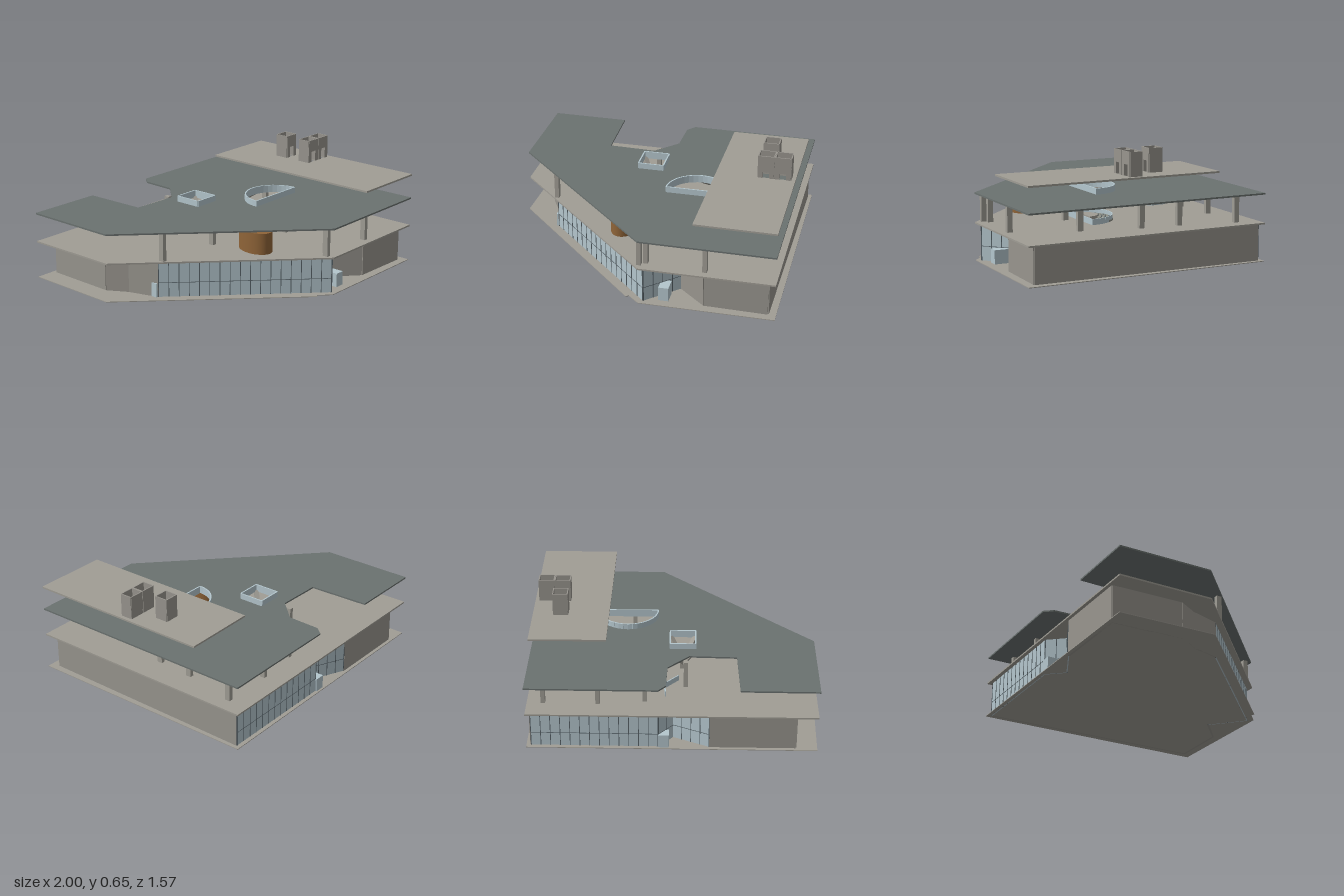
import * as THREE from 'three';

const paint = (color) => new THREE.MeshStandardMaterial({ color, side: THREE.DoubleSide });
const STONE = paint(0xa09d95), WALL = paint(0x98958e), ROOF = paint(0x6b7270);
const GLASS = paint(0xb4c6cd), FRAME = paint(0x59646a), WOOD = paint(0x8f6438), PLANTS = paint(0x8d8f86);
const TILT = 0.378; // plan rotation shared by the rotated elements

export function createModel() {
  const model = new THREE.Group();

  const add = (name, geometry, material, parent = model) => {
    const mesh = new THREE.Mesh(geometry, material);
    mesh.name = name;
    parent.add(mesh);
    return mesh;
  };

  // Flat plate from a plan outline of [x, z] points
  const plate = (name, outline, y0, y1, material, holes = []) => {
    const toPts = (list) => list.map(([x, z]) => new THREE.Vector2(x, -z));
    const shape = new THREE.Shape(toPts(outline));
    holes.forEach((h) => shape.holes.push(new THREE.Path(toPts(h))));
    const g = new THREE.ExtrudeGeometry(shape, { depth: y1 - y0, bevelEnabled: false });
    return add(name, g.rotateX(-Math.PI / 2).translate(0, y0, 0), material);
  };

  // Upright strip between two plan points
  const strip = (name, [ax, az], [bx, bz], y0, y1, thick, material) => {
    const m = add(name, new THREE.BoxGeometry(Math.hypot(bx - ax, bz - az), y1 - y0, thick), material);
    m.position.set((ax + bx) / 2, (y0 + y1) / 2, (az + bz) / 2);
    m.rotation.y = -Math.atan2(bz - az, bx - ax);
  };
  const run = (name, pts, y0, y1, thick, material) => {
    for (let i = 0; i < pts.length - 1; i++) strip(name, pts[i], pts[i + 1], y0, y1, thick, material);
  };
  const block = (name, x, y, z, w, h, d, material, turn = TILT) => {
    const m = add(name, new THREE.BoxGeometry(w, h, d), material);
    m.position.set(x, y, z);
    m.rotation.y = turn;
  };

  // Rotated rectangle and half-disc outlines in plan
  const turned = (cx, cz, u, v) => [cx + u * Math.cos(TILT) + v * Math.sin(TILT), cz - u * Math.sin(TILT) + v * Math.cos(TILT)];
  const rect = (cx, cz, w, d) =>
    [[-1, -1], [1, -1], [1, 1], [-1, 1]].map(([a, b]) => turned(cx, cz, (a * w) / 2, (b * d) / 2));
  const halfDisc = (cx, cz, r, n = 20) =>
    Array.from({ length: n + 1 }, (_, i) => {
      const a = (Math.PI * i) / n;
      return turned(cx, cz, -r * Math.cos(a), -r * Math.sin(a));
    });
  const closed = (pts) => [...pts, pts[0]];

  // Main plan corners
  const A = [-1, -0.2], B = [0.485, -0.785], C = [1, 0.51], D = [0.32, 0.78], E = [-0.8, 0.31];
  const skylight = rect(-0.118, 0.013, 0.145, 0.15);
  const moon = halfDisc(0.295, 0.19, 0.172);

  // Slabs
  plate('groundSlab', [A, B, C, D, [0.24, 0.75], [0.23, 0.765], [-0.81, 0.32]], 0, 0.004, STONE);
  plate('upperFloor', [A, B, C, D, E], 0.206, 0.215, STONE);
  plate('mainRoof', [A, [-0.6, -0.355], [-0.46, -0.03], [-0.21, -0.12], [-0.145, -0.28],
    [-0.21, -0.46], [-0.19, -0.52], B, C, D, E], 0.37, 0.379, ROOF, [skylight, moon]);

  // Ground floor solid walls
  run('groundWall', [[0.43, 0.53], [0.62, 0.6], [0.94, 0.48], [0.47, -0.75]], 0, 0.207, 0.012, WALL);
  run('groundWall', [[-0.44, -0.393], [-0.88, -0.22], [-0.74, 0.16], [-0.64, 0.24], [-0.53, 0.38]], 0, 0.207, 0.012, WALL);

  // Glazed facades with mullions and a transom
  const glazing = (pts) => {
    run('glassWall', pts, 0, 0.207, 0.006, GLASS);
    run('transom', pts, 0.083, 0.086, 0.009, FRAME);
    for (let i = 0; i < pts.length - 1; i++) {
      const [ax, az] = pts[i], [bx, bz] = pts[i + 1];
      const n = Math.max(1, Math.round(Math.hypot(bx - ax, bz - az) / 0.055));
      for (let k = 0; k <= n; k++)
        block('mullion', ax + ((bx - ax) * k) / n, 0.1035, az + ((bz - az) * k) / n, 0.004, 0.207, 0.01, FRAME,
          -Math.atan2(bz - az, bx - ax));
    }
  };
  glazing([[-0.53, 0.38], [0.33, 0.745], [0.43, 0.53]]);
  glazing([[0.47, -0.75], [-0.18, -0.497], [-0.22, -0.38], [-0.44, -0.393]]);

  // Low entrance lobbies
  [[0.405, 0.65, 0.055, 0.08], [-0.535, 0.36, 0.04, 0.04], [-0.2, -0.47, 0.06, 0.06]].forEach(([x, z, w, d]) =>
    block('entranceLobby', x, 0.042, z, w, 0.08, d, GLASS));

  // Upper storey columns
  [[-0.515, 0.405], [0.3, 0.735], [0.32, 0.7], [0.625, 0.6], [0.45, -0.63], [0.17, -0.52], [-0.06, -0.4],
    [-0.21, -0.17], [0.51, -0.31], [0.575, -0.1], [0.625, 0.23], [0.3, 0.29], [-0.16, 0.29]].forEach(([x, z]) =>
    block('column', x, 0.292, z, 0.024, 0.158, 0.03, STONE));

  // Curved timber room
  const room = add('timberRoom', new THREE.CylinderGeometry(1, 1, 0.12, 32), WOOD);
  room.scale.set(0.075, 1, 0.11);
  room.position.set(0.015, 0.274, 0.465);
  room.rotation.y = 0.2;

  // Square skylight: glazed upstand over four converging struts
  run('skylightUpstand', closed(skylight), 0.37, 0.412, 0.008, GLASS);
  const foot = new THREE.Vector3(-0.118, 0.245, 0.013);
  skylight.forEach(([x, z]) => {
    const top = new THREE.Vector3(x, 0.372, z);
    const strut = add('skylightStrut', new THREE.BoxGeometry(0.026, 0.026, top.distanceTo(foot)), STONE);
    strut.position.copy(top).lerp(foot, 0.5);
    strut.lookAt(top);
  });
  block('skylightPost', -0.118, 0.232, 0.013, 0.035, 0.04, 0.035, STONE);

  // Half-round skylight with planter and railing on the floor beneath
  run('halfRoundUpstand', closed(moon), 0.37, 0.412, 0.008, GLASS);
  run('floorRailing', closed(halfDisc(0.29, 0.22, 0.19)), 0.215, 0.247, 0.006, GLASS);
  plate('planterBed', halfDisc(0.295, 0.19, 0.165), 0.214, 0.225, PLANTS);
  plate('planterSeat', halfDisc(0.305, 0.186, 0.075), 0.22, 0.245, STONE);
  for (let i = 0; i < 40; i++) {
    const a = Math.PI * (0.04 + (0.92 * i) / 39), r = 0.09 + 0.065 * ((i * 0.618) % 1);
    const [x, z] = turned(0.295, 0.19, -r * Math.cos(a), -r * Math.sin(a));
    add('pebble', new THREE.IcosahedronGeometry(0.004, 0), FRAME).position.set(x, 0.226, z);
  }
  run('rearRailing', [[-0.15, -0.13], [-0.11, -0.24], [-0.15, -0.32]], 0.215, 0.247, 0.006, GLASS);

  // Inverted pyramid hung under the main roof
  const funnel = add('hangingFunnel', new THREE.CylinderGeometry(0.17, 0.035, 0.075, 4).rotateY(Math.PI / 4), STONE);
  funnel.position.set(0.21, 0.333, -0.11);
  funnel.rotation.y = TILT;

  // Floating top roof, open beneath the stair and lift shafts
  const shafts = [[0.562, -0.157, 0.088, 0.082], [0.622, -0.003, 0.092, 0.075], [0.708, -0.037, 0.092, 0.075]];
  plate('topRoof', [[0.19, -0.355], [0.59, -0.515], C, [0.59, 0.67]], 0.508, 0.518, STONE,
    shafts.map(([x, z, w, d]) => rect(x, z, w - 0.012, d - 0.012)));

  // Hollow shafts; each has a door opening in its front wall
  shafts.forEach(([x, z, w, d]) => {
    const [p, q, r, s] = rect(x, z, w - 0.006, d - 0.006);
    run('shaftWall', [s, p, q, r], 0.514, 0.648, 0.006, WALL);
    const at = (t) => [s[0] + (r[0] - s[0]) * t, s[1] + (r[1] - s[1]) * t];
    strip('shaftWall', s, at(0.3), 0.514, 0.648, 0.006, WALL);
    strip('shaftWall', at(0.7), r, 0.514, 0.648, 0.006, WALL);
    strip('doorLintel', at(0.3), at(0.7), 0.58, 0.648, 0.006, WALL);
  });

  return model;
}
